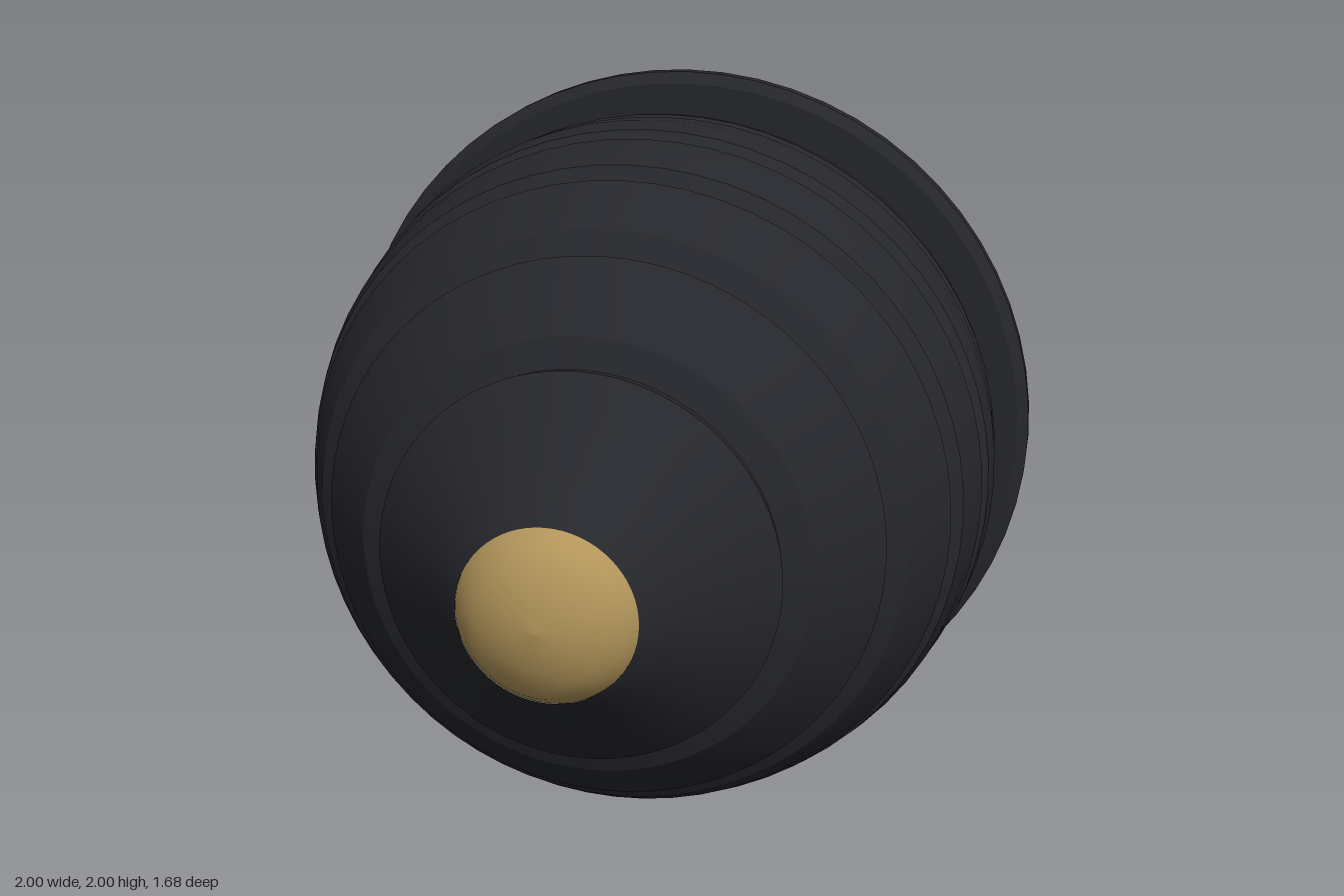
import * as THREE from 'three';

const SEGMENTS = 64;

// Turns a profile of [radius, z] points around the z axis, running back to front
function turned(name, profile, material) {
  const points = profile.map(([r, z]) => new THREE.Vector2(r, z));
  const geometry = new THREE.LatheGeometry(points, SEGMENTS);
  geometry.rotateX(Math.PI / 2);
  const mesh = new THREE.Mesh(geometry, material);
  mesh.name = name;
  return mesh;
}

// One turned mesh per smooth band, so the edges between bands stay sharp
function banded(name, bands, material) {
  const group = new THREE.Group();
  group.name = name;
  bands.forEach((band, i) => group.add(turned(`${name}Band${i + 1}`, band, material)));
  return group;
}

export function createModel() {
  const dark = new THREE.MeshStandardMaterial({ color: 0x26272c });
  const gold = new THREE.MeshStandardMaterial({ color: 0xb2955a });

  const model = new THREE.Group();
  model.name = 'ribbedDome';

  // Flat round base plate with a chamfered front rim
  model.add(banded('basePlate', [
    [[0, -0.84], [1, -0.84]],
    [[1, -0.84], [1, -0.8]],
    [[1, -0.8], [0.97, -0.78]],
    [[0.97, -0.78], [0, -0.78]],
  ], dark));

  // Bulging rings of the body, from the plate to the nose
  const rings = [
    [[0.81, -0.785], [0.86, -0.71], [0.89, -0.675], [0.905, -0.645], [0.915, -0.6], [0.92, -0.56]],
    [[0.923, -0.5], [0.928, -0.42], [0.918, -0.325]],
    [[0.906, -0.255], [0.893, -0.17], [0.87, -0.09]],
    [[0.845, -0.02], [0.805, 0.07], [0.76, 0.145]],
    [[0.71, 0.215], [0.635, 0.31], [0.56, 0.39]],
    [[0.495, 0.455], [0.41, 0.54], [0.315, 0.63], [0.255, 0.7], [0.215, 0.737]],
  ];
  model.add(banded('bodyRings', rings, dark));

  // V grooves between neighbouring rings, given by their lowest point
  const valleys = [[0.885, -0.53], [0.88, -0.29], [0.82, -0.055], [0.7, 0.183], [0.488, 0.418]];
  const grooves = valleys.flatMap((valley, i) => [
    [rings[i].at(-1), valley],
    [valley, rings[i + 1][0]],
  ]);
  model.add(banded('grooves', grooves, dark));

  // Rounded tip
  model.add(turned('tip', [
    [0.215, 0.735], [0.19, 0.77], [0.15, 0.8], [0.1, 0.82], [0.05, 0.833], [0, 0.838],
  ], gold));

  model.position.y = 1;
  const root = new THREE.Group();
  root.add(model);
  return root;
}
